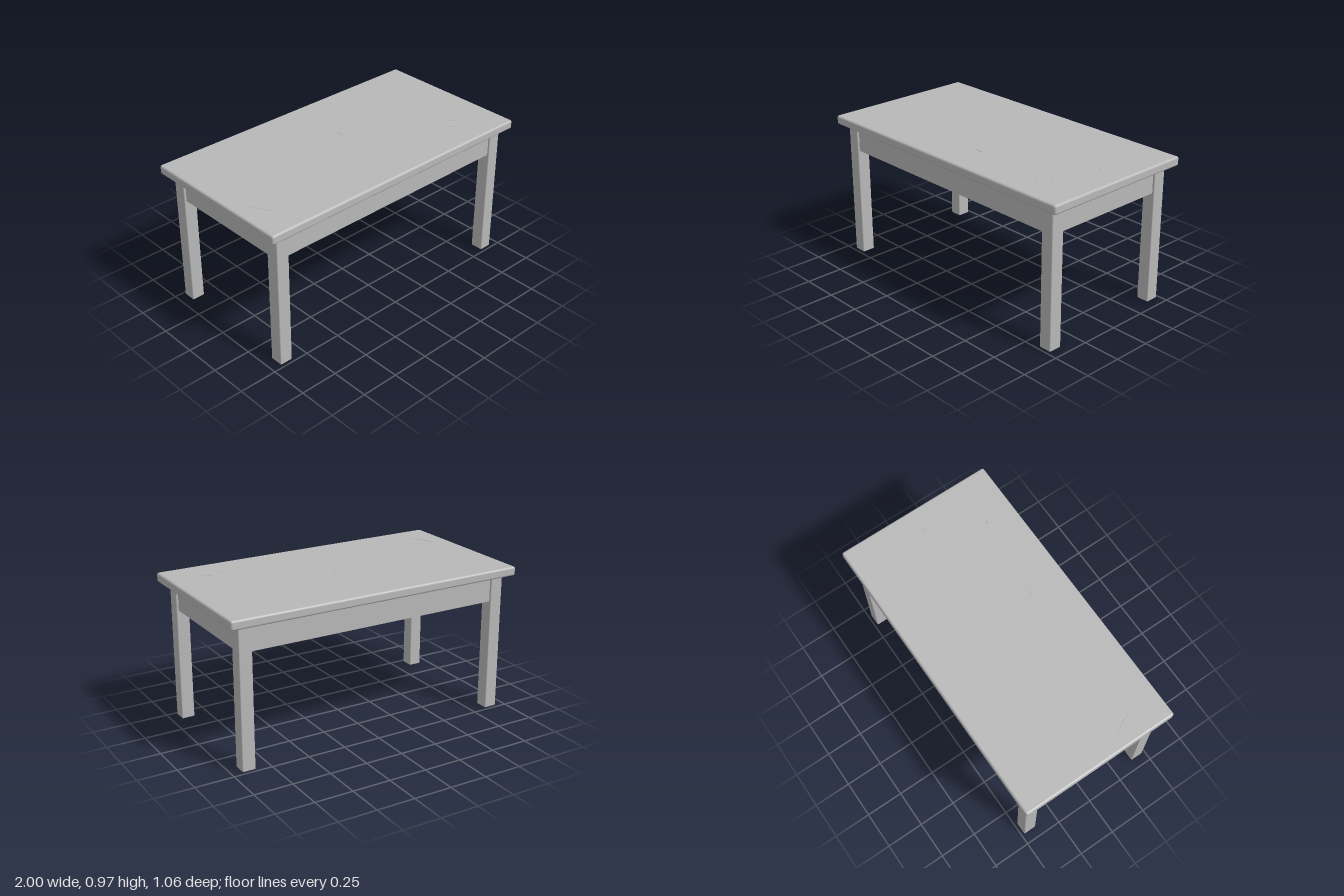
import * as THREE from 'three';
import { RoundedBoxGeometry } from 'three/addons/geometries/RoundedBoxGeometry.js';

export function createModel() {
  const table = new THREE.Group();
  table.name = 'table';
  const grey = new THREE.MeshStandardMaterial({ color: 0xb8b8b8 });
  grey.name = 'plain grey';

  function add(name, geometry, x, y, z) {
    const mesh = new THREE.Mesh(geometry, grey);
    mesh.name = name;
    mesh.position.set(x, y, z);
    table.add(mesh);
    return mesh;
  }

  // Overhanging slab with softened edges
  add('tableTop', new RoundedBoxGeometry(2, 0.06, 1.06, 3, 0.014), 0, 0.935, 0);

  // Four square legs, flush with the underside of the top
  const legGeometry = new RoundedBoxGeometry(0.086, 0.915, 0.088, 2, 0.007);
  for (const [side, sx] of [['Left', 1], ['Right', -1]]) {
    for (const [end, sz] of [['front', 1], ['back', -1]]) {
      add(`${end}${side}Leg`, legGeometry, sx * 0.892, 0.4575, sz * 0.436);
    }
  }

  // Apron rails between the legs, set back slightly from their outer faces
  const longRail = new THREE.BoxGeometry(1.71, 0.17, 0.074);
  const shortRail = new THREE.BoxGeometry(0.071, 0.17, 0.796);
  for (const s of [1, -1]) {
    add(s > 0 ? 'frontApron' : 'backApron', longRail, 0, 0.825, s * 0.43);
    add(s > 0 ? 'leftApron' : 'rightApron', shortRail, s * 0.885, 0.825, 0);
  }

  // Shallow wear marks on the top: [x, z, length, width, turn]
  const marks = [
    [0.065, -0.085, 0.085, 0.008, 1.45],
    [0.83, -0.025, 0.04, 0.02, 0.2],
    [-0.86, 0.27, 0.3, 0.006, -1.1],
    [0.12, 0.28, 0.16, 0.006, 0],
    [0.66, 0.33, 0.14, 0.005, -0.6],
    [0.75, 0.3, 0.12, 0.005, -0.7],
  ];
  for (const [x, z, length, width, turn] of marks) {
    // Four-sided sliver, tapered to both ends
    const sliver = new THREE.CylinderGeometry(0.4, 0.5, 0.003, 4).scale(length, 1, width);
    add('wearMark', sliver, x, 0.9655, z).rotation.y = turn;
  }
  return table;
}
